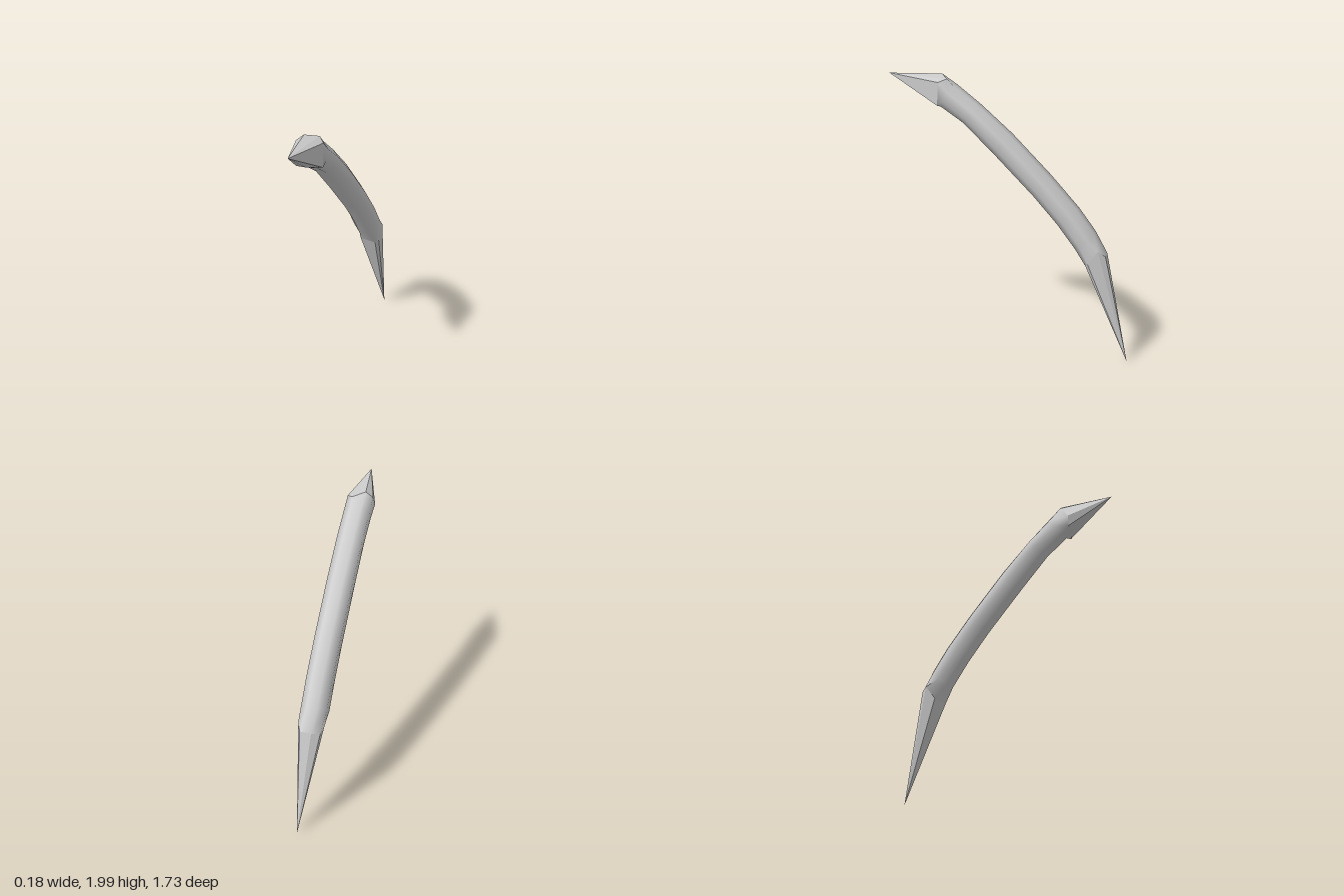
import * as THREE from 'three';

const V = (x, y, z) => new THREE.Vector3(x, y, z);
const SIDES = 8;

// Eight-sided section spanning an outer and an inner edge point, each [z, y]
function section([oz, oy], [iz, iy]) {
  return Array.from({ length: SIDES }, (_, k) => {
    const a = ((k + 0.5) * Math.PI * 2) / SIDES;
    const t = 0.5 + (0.5 * Math.sin(a)) / Math.cos(Math.PI / SIDES);
    return V((0.09 * Math.cos(a)) / Math.cos(Math.PI / SIDES), iy + (oy - iy) * t, iz + (oz - iz) * t);
  });
}

// Smooth skin through a list of sections
function loft(rings) {
  const index = [];
  for (let i = 0; i < rings.length - 1; i++) {
    for (let k = 0; k < SIDES; k++) {
      const a = i * SIDES + k, b = i * SIDES + ((k + 1) % SIDES);
      index.push(a, a + SIDES, b, b, a + SIDES, b + SIDES);
    }
  }
  const geometry = new THREE.BufferGeometry().setFromPoints(rings.flat());
  geometry.setIndex(index);
  geometry.computeVertexNormals();
  return geometry;
}

// Faceted spike from a section to a point
function spike(ring, tip, atStart) {
  const points = [];
  ring.forEach((p, k) => {
    const q = ring[(k + 1) % SIDES];
    points.push(...(atStart ? [tip, p, q] : [p, tip, q]));
  });
  const geometry = new THREE.BufferGeometry().setFromPoints(points);
  geometry.computeVertexNormals();
  return geometry;
}

export function createModel() {
  const group = new THREE.Group();
  group.name = 'curvedSpike';

  // Irregular broken ends of the shaft
  const frontRing = [
    V(0.085, 1.96, 0.49), V(0.04, 1.98, 0.44), V(-0.04, 2.0, 0.5), V(-0.09, 1.96, 0.51),
    V(-0.09, 1.88, 0.57), V(-0.07, 1.81, 0.56), V(0, 1.81, 0.56), V(0.085, 1.8, 0.5),
  ];
  const backRing = [
    V(0.085, 0.84, -0.64), V(0.06, 0.8, -0.69), V(-0.02, 0.8, -0.69), V(-0.075, 0.79, -0.66),
    V(-0.09, 0.82, -0.62), V(-0.06, 0.73, -0.56), V(0.06, 0.72, -0.55), V(0.082, 0.74, -0.57),
  ];

  // Arched shaft: outer and inner edge of each section
  const sections = [
    [[0.39, 1.93], [0.49, 1.785]],
    [[0.22, 1.8], [0.33, 1.68]],
    [[0, 1.61], [0.11, 1.47]],
    [[-0.28, 1.33], [-0.17, 1.19]],
    [[-0.48, 1.11], [-0.34, 1.0]],
    [[-0.6, 0.95], [-0.47, 0.83]],
  ].map(([outer, inner]) => section(outer, inner));

  const add = (name, geometry, flatShading) => {
    const material = new THREE.MeshStandardMaterial({ color: 0xcccccc, flatShading });
    const mesh = new THREE.Mesh(geometry, material);
    mesh.name = name;
    group.add(mesh);
  };
  add('shaft', loft([frontRing, ...sections, backRing]), false);
  add('frontTip', spike(frontRing, V(0.02, 2, 0.865), true), true);
  add('backTip', spike(backRing, V(0.04, 0.01, -0.865), false), true);
  return group;
}
